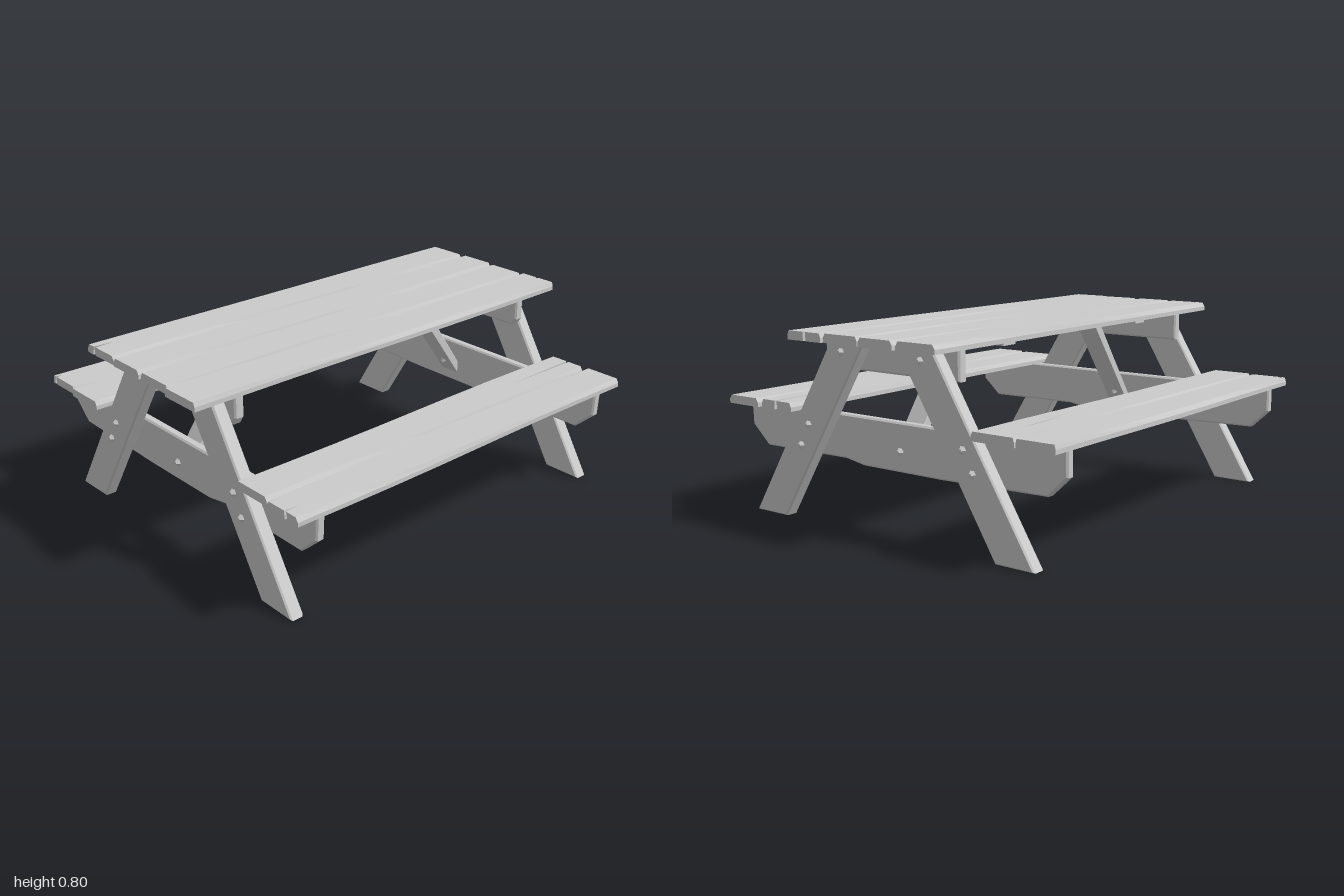
import * as THREE from 'three';

const material = new THREE.MeshStandardMaterial({ color: 0xcccccc, flatShading: true });

function addMesh(parent, name, geometry) {
  const mesh = new THREE.Mesh(geometry, material);
  mesh.name = name;
  parent.add(mesh);
  return mesh;
}

const shapeOf = (points) => new THREE.Shape(points.map(([a, b]) => new THREE.Vector2(a, b)));

// Extrude with a small worn bevel that stays inside the outline
function bevelled(points, depth, bevel = 0.007) {
  const geometry = new THREE.ExtrudeGeometry(shapeOf(points), {
    depth: depth - 2 * bevel, bevelEnabled: true, bevelSegments: 1,
    bevelSize: bevel, bevelThickness: bevel, bevelOffset: -bevel,
  });
  return geometry.translate(0, 0, bevel);
}

// Board lying across the table: outline in (z, y), thickness from x0 to x1
function crossBoard(points, x0, x1) {
  return bevelled(points, x1 - x0).rotateY(-Math.PI / 2).translate(x1, 0, 0);
}

// Long plank with wavy sides, worn top edges and optional end splits or slits
function plank({ x, z, y, seed, splits = [], slit }) {
  const [x0, x1] = x, [z0, z1] = z, n = 8;
  const wave = (t, phase) => 0.004 * Math.sin(t * 7 + seed * 2.3 + phase);
  const points = [];
  const addSplit = (end, dir) => {
    for (const s of splits.filter((s) => s.end === end)) {
      const ex = end === 'left' ? x0 : x1;
      const inward = end === 'left' ? 1 : -1;
      points.push([ex, -(s.z + dir * 0.007)], [ex + inward * s.length, -s.z], [ex, -(s.z - dir * 0.007)]);
    }
  };
  // front edge left to right, right end, back edge right to left, left end
  for (let i = 0; i <= n; i++) points.push([x0 + ((x1 - x0) * i) / n, -(z1 + wave(i / n, 0))]);
  addSplit('right', 1);
  for (let i = n; i >= 0; i--) points.push([x0 + ((x1 - x0) * i) / n, -(z0 + wave(i / n, 2))]);
  addSplit('left', -1);

  const shape = shapeOf(points);
  if (slit) {
    const [a, b, sz] = slit;
    shape.holes.push(new THREE.Path([
      new THREE.Vector2(a, -sz - 0.006), new THREE.Vector2((a + b) / 2, -sz + 0.009),
      new THREE.Vector2(b, -sz + 0.008), new THREE.Vector2((a + b) / 2, -sz - 0.004),
    ]));
  }
  const thickness = 0.036;
  const geometry = new THREE.ExtrudeGeometry(shape, { depth: thickness, steps: 2, bevelEnabled: false });
  geometry.rotateX(-Math.PI / 2);
  // Draw the top face in so its long edges look planed off
  const p = geometry.attributes.position, mid = (z0 + z1) / 2;
  for (let i = 0; i < p.count; i++) {
    if (p.getY(i) > thickness * 0.9) {
      const inset = 0.9 + 0.035 * Math.sin(p.getX(i) * 3 + seed);
      p.setZ(i, mid + (p.getZ(i) - mid) * inset);
    }
  }
  geometry.computeVertexNormals();
  return geometry.translate(0, y, 0);
}

// Faceted bolt head pointing along a direction
function addBolt(parent, position, direction) {
  const bolt = addMesh(parent, 'bolt', new THREE.CylinderGeometry(0.007, 0.018, 0.016, 6).translate(0, 0.007, 0));
  bolt.position.set(...position);
  bolt.quaternion.setFromUnitVectors(new THREE.Vector3(0, 1, 0), new THREE.Vector3(...direction).normalize());
}

export function createModel() {
  const table = new THREE.Group();
  table.name = 'picnicTable';

  // Tabletop
  const top = new THREE.Group();
  top.name = 'tabletop';
  table.add(top);
  [
    { x: [-0.98, 0.995], z: [-0.363, -0.18], splits: [{ end: 'left', z: -0.32, length: 0.09 }] },
    { x: [-0.985, 1], z: [-0.17, 0.008] },
    { x: [-0.985, 0.99], z: [0.02, 0.194] },
    { x: [-1, 1], z: [0.204, 0.385], splits: [{ end: 'right', z: 0.29, length: 0.03 }] },
  ].forEach((o, i) => addMesh(top, 'tabletopPlank', plank({ ...o, y: 0.765, seed: i + 1 })));

  // Benches
  const benches = {
    backBench: [
      { x: [-0.9, 0.92], z: [-0.84, -0.664], splits: [{ end: 'left', z: -0.815, length: 0.03 }] },
      { x: [-0.912, 0.915], z: [-0.654, -0.465], slit: [0.48, 0.76, -0.56] },
    ],
    frontBench: [
      { x: [-0.893, 0.913], z: [0.475, 0.652], splits: [{ end: 'right', z: 0.565, length: 0.39 }] },
      { x: [-0.905, 0.92], z: [0.662, 0.838], splits: [{ end: 'left', z: 0.77, length: 0.06 }] },
    ],
  };
  Object.entries(benches).forEach(([name, planks], b) => {
    const bench = new THREE.Group();
    bench.name = name;
    table.add(bench);
    planks.forEach((o, i) => addMesh(bench, 'benchPlank', plank({ ...o, y: 0.455, seed: 5 + b * 2 + i })));
  });

  // End frames, one for each side
  for (const side of [1, -1]) {
    const frame = new THREE.Group();
    frame.name = side > 0 ? 'leftFrame' : 'rightFrame';
    table.add(frame);
    const shift = 0.005;
    const span = (a, b) => (side > 0 ? [a + shift, b + shift] : [-b + shift, -a + shift]);
    const at = (x) => side * x + shift;

    // Slanted legs
    addMesh(frame, 'frontLeg', crossBoard([[0.745, 0], [0.275, 0.766], [0.095, 0.766], [0.565, 0]], ...span(0.81, 0.87)));
    addMesh(frame, 'backLeg', crossBoard([[-0.535, 0], [-0.065, 0.766], [-0.245, 0.766], [-0.715, 0]], ...span(0.81, 0.87)));

    // Crosspiece under the tabletop
    addMesh(frame, 'topCrosspiece', crossBoard(
      [[0.365, 0.766], [-0.33, 0.766], [-0.33, 0.64], [0.345, 0.64], [0.365, 0.67]], ...span(0.768, 0.812)));

    // Beam carrying both benches
    addMesh(frame, 'benchBeam', crossBoard([
      [0.825, 0.456], [-0.815, 0.456], [-0.815, 0.35], [-0.73, 0.27], [-0.23, 0.258],
      [0.17, 0.258], [0.27, 0.275], [0.73, 0.27], [0.82, 0.35],
    ], ...span(0.772, 0.812)));

    // Diagonal brace and the cleat that holds it
    const outline = [[0.447, 0.748], [0.503, 0.748], [0.776, 0.36], [0.776, 0.3]].map(([x, y]) => [at(x), y]);
    addMesh(frame, 'brace', bevelled(outline, 0.1, 0.004).translate(0, 0, -0.075));
    const cleat = addMesh(frame, 'cleat', new THREE.BoxGeometry(0.075, 0.022, 0.64));
    cleat.position.set(at(0.483), 0.755, 0.01);

    // Bolts on legs, beam and brace
    for (const [z, y] of [[0.22, 0.715], [0.415, 0.405], [0.46, 0.315], [-0.19, 0.715], [-0.39, 0.405], [-0.435, 0.32]]) {
      addBolt(frame, [at(0.87), y, z], [side, 0, 0]);
    }
    addBolt(frame, [at(0.812), 0.34, -0.03], [side, 0, 0]);
    for (const [x, y] of [[0.727, 0.368], [0.472, 0.715]]) {
      addBolt(frame, [at(x), y, -0.025], [-0.8 * side, -0.6, 0]);
    }
  }
  return table;
}
